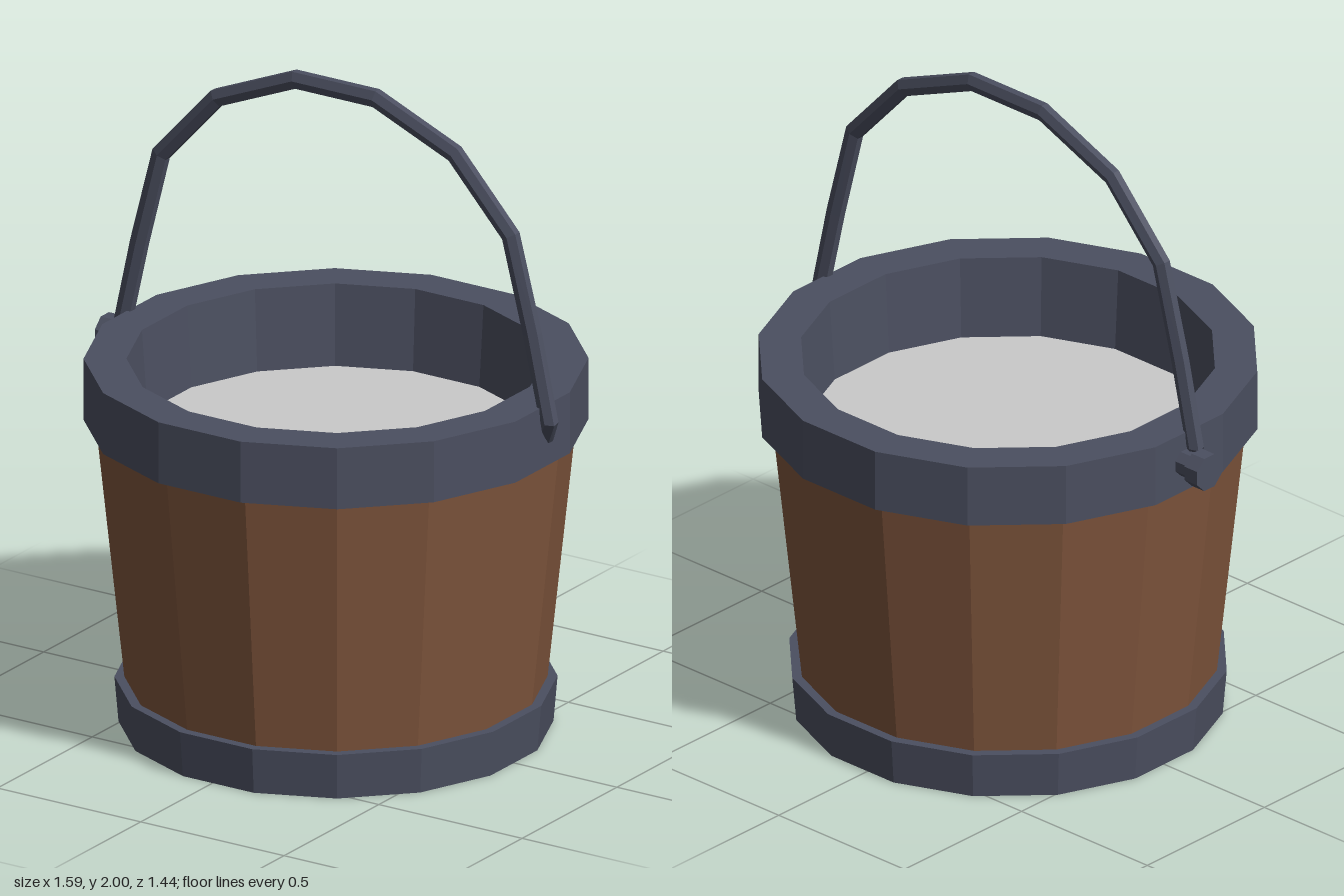
import * as THREE from 'three';

const SIDES = 16;
const CX = 0.02; // the peg makes the bucket sit slightly off centre

const mat = (name, color, extra = {}) => {
  const m = new THREE.MeshStandardMaterial({ color, flatShading: true, ...extra });
  m.name = name;
  return m;
};

// Sixteen-sided ring with flat sides facing the axes; profile runs bottom to top on the outside
function ring(name, profile, material) {
  const pts = profile.map(([r, y]) => new THREE.Vector2(r, y));
  const mesh = new THREE.Mesh(new THREE.LatheGeometry(pts, SIDES, Math.PI / SIDES), material);
  mesh.name = name;
  return mesh;
}

// Six-sided bar swept along a polyline, deeper across the bend than along z
function sweepBar(path, halfDepth, halfWidth, n = 6) {
  const pos = [], index = [];
  path.forEach((p, i) => {
    const before = path[Math.max(i - 1, 0)], after = path[Math.min(i + 1, path.length - 1)];
    const t = new THREE.Vector3();
    if (i > 0) t.add(p.clone().sub(before).normalize());
    if (i < path.length - 1) t.add(after.clone().sub(p).normalize());
    t.normalize();
    const b = new THREE.Vector3(0, 0, 1).addScaledVector(t, -t.z).normalize();
    const u = new THREE.Vector3().crossVectors(t, b);
    for (let j = 0; j < n; j++) {
      const a = (j / n) * Math.PI * 2;
      const v = p.clone().addScaledVector(b, Math.cos(a) * halfWidth).addScaledVector(u, Math.sin(a) * halfDepth);
      pos.push(v.x, v.y, v.z);
    }
  });
  for (let i = 0; i < path.length - 1; i++) {
    for (let j = 0; j < n; j++) {
      const a = i * n + j, b = i * n + (j + 1) % n;
      index.push(a, b, a + n, b, b + n, a + n);
    }
  }
  const last = (path.length - 1) * n;
  for (let j = 1; j < n - 1; j++) index.push(0, j + 1, j, last, last + j, last + j + 1);
  const g = new THREE.BufferGeometry();
  g.setAttribute('position', new THREE.Float32BufferAttribute(pos, 3));
  g.setIndex(index);
  g.computeVertexNormals();
  return g;
}

export function createModel() {
  const metal = mat('dark metal', 0x4b4f60);
  const wood = mat('brown wood', 0x7f553c);
  const liquid = mat('pale liquid', 0xcacaca);

  const model = new THREE.Group();
  model.name = 'bucket';
  const body = new THREE.Group();
  body.name = 'body';
  body.position.x = CX;
  model.add(body);

  // Tapered wall, foot band with closed bottom, rim with its inner wall
  body.add(ring('wall', [[0.615, 0.13], [0.701, 0.945]], wood));
  body.add(ring('footBand', [[0, 0], [0.633, 0], [0.645, 0.14], [0.61, 0.14]], metal));
  body.add(ring('rim', [[0.69, 0.94], [0.735, 0.94], [0.735, 1.13], [0.61, 1.13], [0.592, 0.87]], metal));

  // Liquid surface
  body.add(ring('liquid', [[0.6, 0.88], [0, 0.88]], liquid));

  // Arched handle, its ends hooked into the rim in opposite z directions
  const half = [[0.14, 1.97], [0.415, 1.855], [0.61, 1.64], [0.685, 1.35], [0.743, 1.09]];
  const end = [0.68, 0.99, 0.06];
  const path = [
    new THREE.Vector3(-end[0], end[1], end[2]),
    ...half.map(([x, y]) => new THREE.Vector3(-x, y, 0)).reverse(),
    ...half.map(([x, y]) => new THREE.Vector3(x, y, 0)),
    new THREE.Vector3(end[0], end[1], -end[2]),
  ];
  const handle = new THREE.Mesh(sweepBar(path, 0.03, 0.023), metal);
  handle.name = 'handle';
  body.add(handle);

  // Single pivot peg on the -x side: shaft and wider head
  const peg = new THREE.Group();
  peg.name = 'pivotPeg';
  peg.position.set(0, 1.035, -0.02);
  for (const [name, r, x0, x1] of [['pegShaft', 0.042, -0.755, -0.68], ['pegHead', 0.057, -0.8, -0.75]]) {
    const m = new THREE.Mesh(new THREE.CylinderGeometry(r, r, x1 - x0, 8), metal);
    m.name = name;
    m.rotation.set(0, 0, Math.PI / 2);
    m.rotateY(Math.PI / 8);
    m.position.x = (x0 + x1) / 2;
    peg.add(m);
  }
  model.add(peg);
  return model;
}
